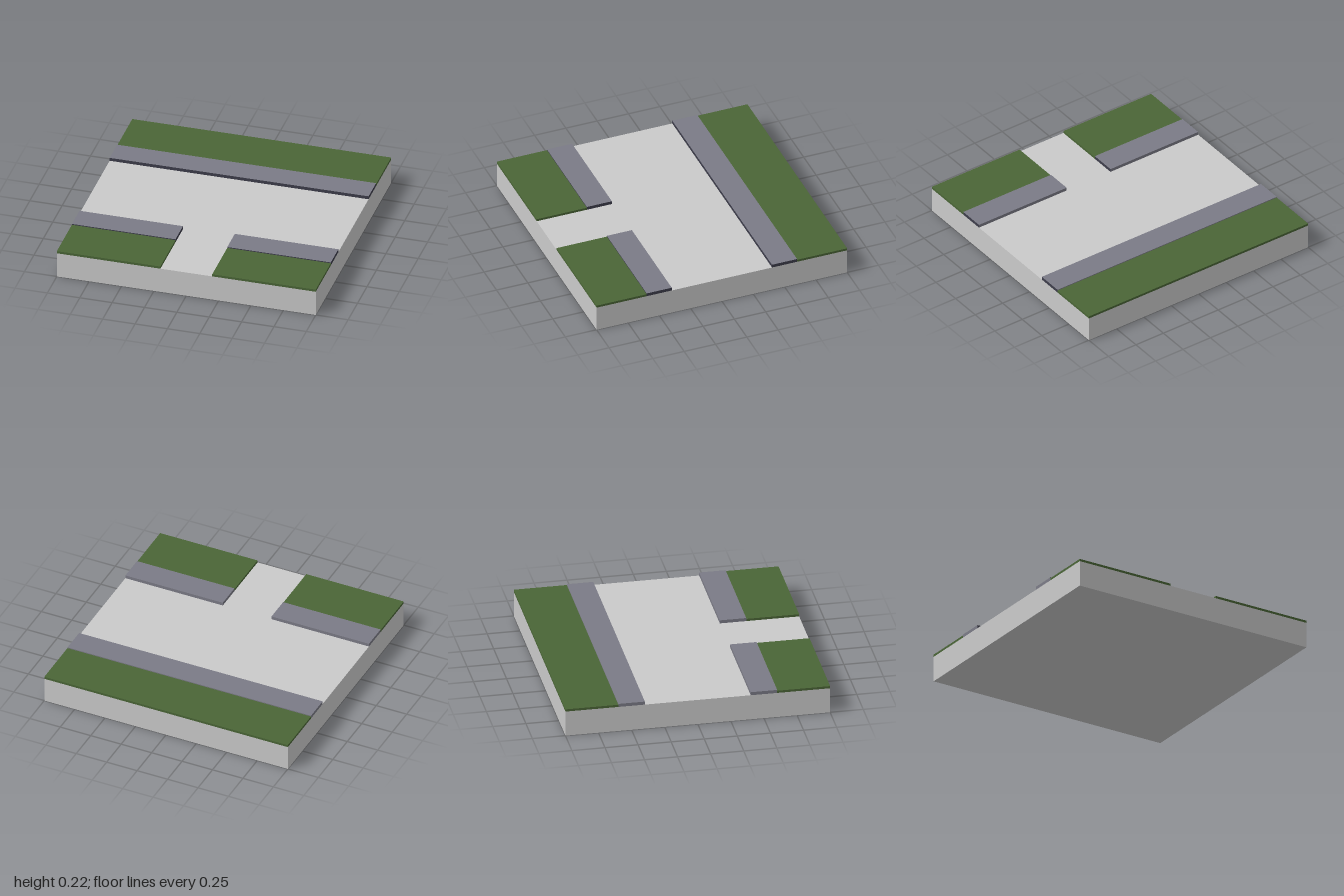
import * as THREE from 'three';

export function createModel() {
  const group = new THREE.Group();
  group.name = 'roadJunctionTile';

  const mat = (name, color) => {
    const m = new THREE.MeshStandardMaterial({ color });
    m.name = name;
    return m;
  };
  const road = mat('roadGrey', 0xcacaca);
  const grass = mat('grassGreen', 0x4a6536);
  const paving = mat('pavingGrey', 0x7b7b86);
  const kerb = mat('kerbDark', 0x3d3d4b);

  // Box given by its extents on each axis
  const slab = (name, [x0, x1], [y0, y1], [z0, z1], material) => {
    const mesh = new THREE.Mesh(new THREE.BoxGeometry(x1 - x0, y1 - y0, z1 - z0), material);
    mesh.position.set((x0 + x1) / 2, (y0 + y1) / 2, (z0 + z1) / 2);
    mesh.name = name;
    group.add(mesh);
  };

  // Road slab
  slab('roadBase', [-1, 1], [0, 0.2], [-1, 1], road);

  // Paving has dark kerb faces on +x and +z (order: +x, -x, +y, -y, +z, -z)
  const pavingFaces = [kerb, paving, paving, paving, kerb, paving];

  // Verge and pavement: one full strip behind, two in front beside the side road
  const strips = [
    ['back', [-1, 1], -1],
    ['frontRight', [-1, -0.2], 1],
    ['frontLeft', [0.2, 1], 1],
  ];
  for (const [name, xs, side] of strips) {
    const zs = (a, b) => [a * side, b * side].sort((p, q) => p - q);
    slab(name + 'Grass', xs, [0.2, 0.218], zs(0.6, 1), grass);
    slab(name + 'Pavement', xs, [0.2, 0.225], zs(0.4, 0.6), pavingFaces);
  }
  return group;
}
